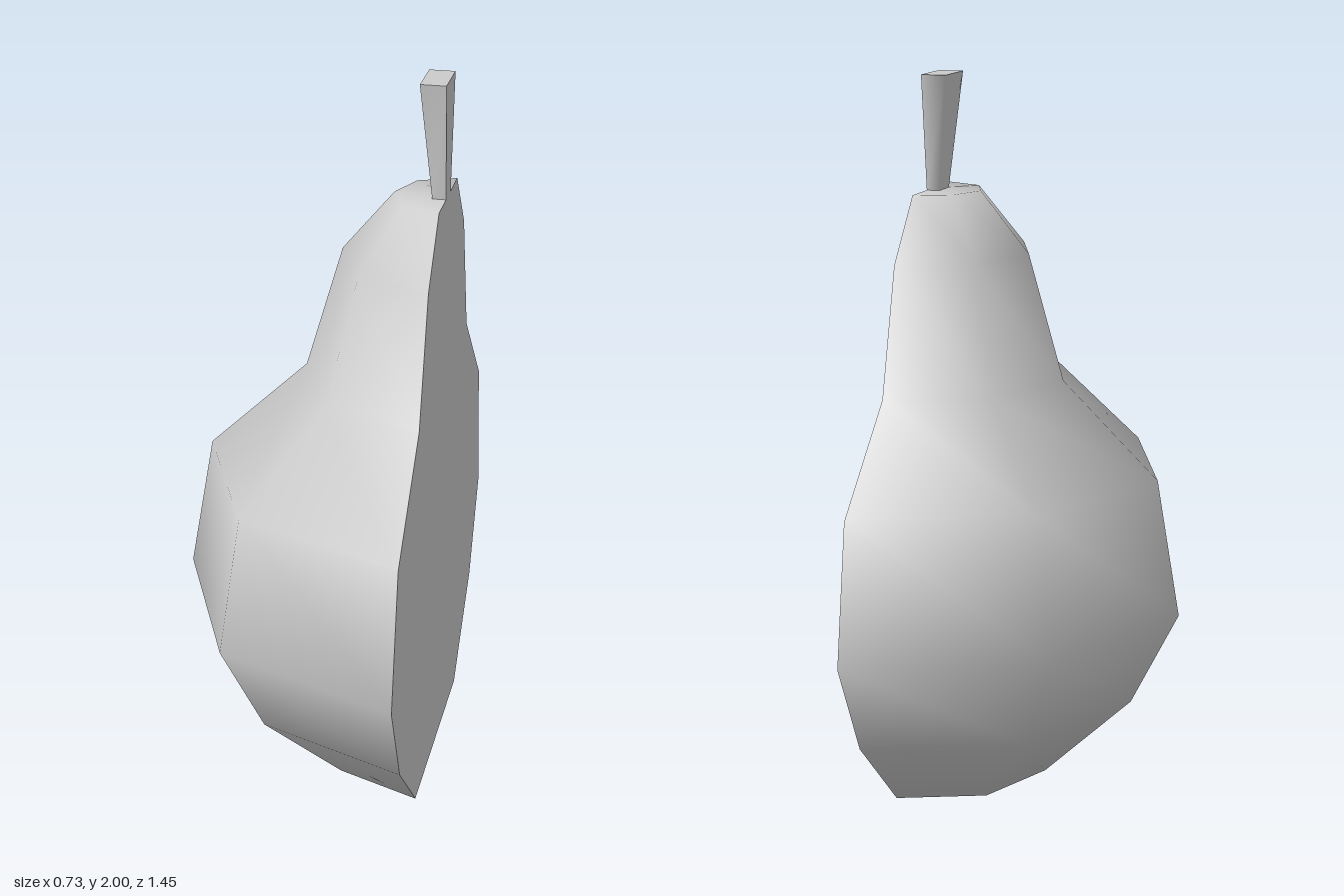
import * as THREE from 'three';

const CUT = 0.3625; // x of the flat cut plane, which holds the pear's axis
const STEM = { bottom: 1.68, top: 2, rBottom: 0.037, rTop: 0.07 };

// Pear profile as [radius, height], from base to shoulder
const PROFILE = [
  [0.33, 0], [0.587, 0.24], [0.725, 0.51], [0.66, 0.895],
  [0.385, 1.16], [0.285, 1.51], [0.145, 1.68],
];

export function createModel() {
  const group = new THREE.Group();
  const material = new THREE.MeshStandardMaterial({ color: 0xcccccc });

  const add = (name, geometry, x = CUT, y = 0) => {
    const mesh = new THREE.Mesh(geometry, material);
    mesh.name = name;
    mesh.position.set(x, y, 0);
    group.add(mesh);
  };

  // Flat face toward +x, mirrored from a one-sided outline
  const cutFace = (outline) => {
    const mirrored = outline.map(([r, y]) => [-r, y]).reverse();
    const points = [...outline, ...mirrored].map(([r, y]) => new THREE.Vector2(r, y));
    return new THREE.ShapeGeometry(new THREE.Shape(points)).rotateY(Math.PI / 2);
  };

  // Skin: half of an eight-sided lathe, closed at base and top
  const skin = [[0, 0], ...PROFILE, [0, 1.68]].map(([r, y]) => new THREE.Vector2(r, y));
  add('pearSkin', new THREE.LatheGeometry(skin, 4, Math.PI, Math.PI));
  add('pearCutFace', cutFace(PROFILE));

  // Stem wall: a strip folded around three sides of a flaring half square
  const wall = new THREE.PlaneGeometry(1, 1, 3, 1);
  const corners = [[0, -1], [-1, -1], [-1, 1], [0, 1]];
  const pos = wall.attributes.position;
  for (let i = 0; i < pos.count; i++) {
    const upper = pos.getY(i) > 0;
    const r = upper ? STEM.rTop : STEM.rBottom;
    const [x, z] = corners[i % 4];
    pos.setXYZ(i, x * r, upper ? STEM.top : STEM.bottom, z * r);
  }
  wall.computeVertexNormals();
  add('stemWall', wall);

  // Stem top and cut side
  const top = new THREE.PlaneGeometry(STEM.rTop, 2 * STEM.rTop).rotateX(-Math.PI / 2);
  add('stemTop', top, CUT - STEM.rTop / 2, STEM.top);
  add('stemCutFace', cutFace([[STEM.rBottom, STEM.bottom], [STEM.rTop, STEM.top]]));

  return group;
}
